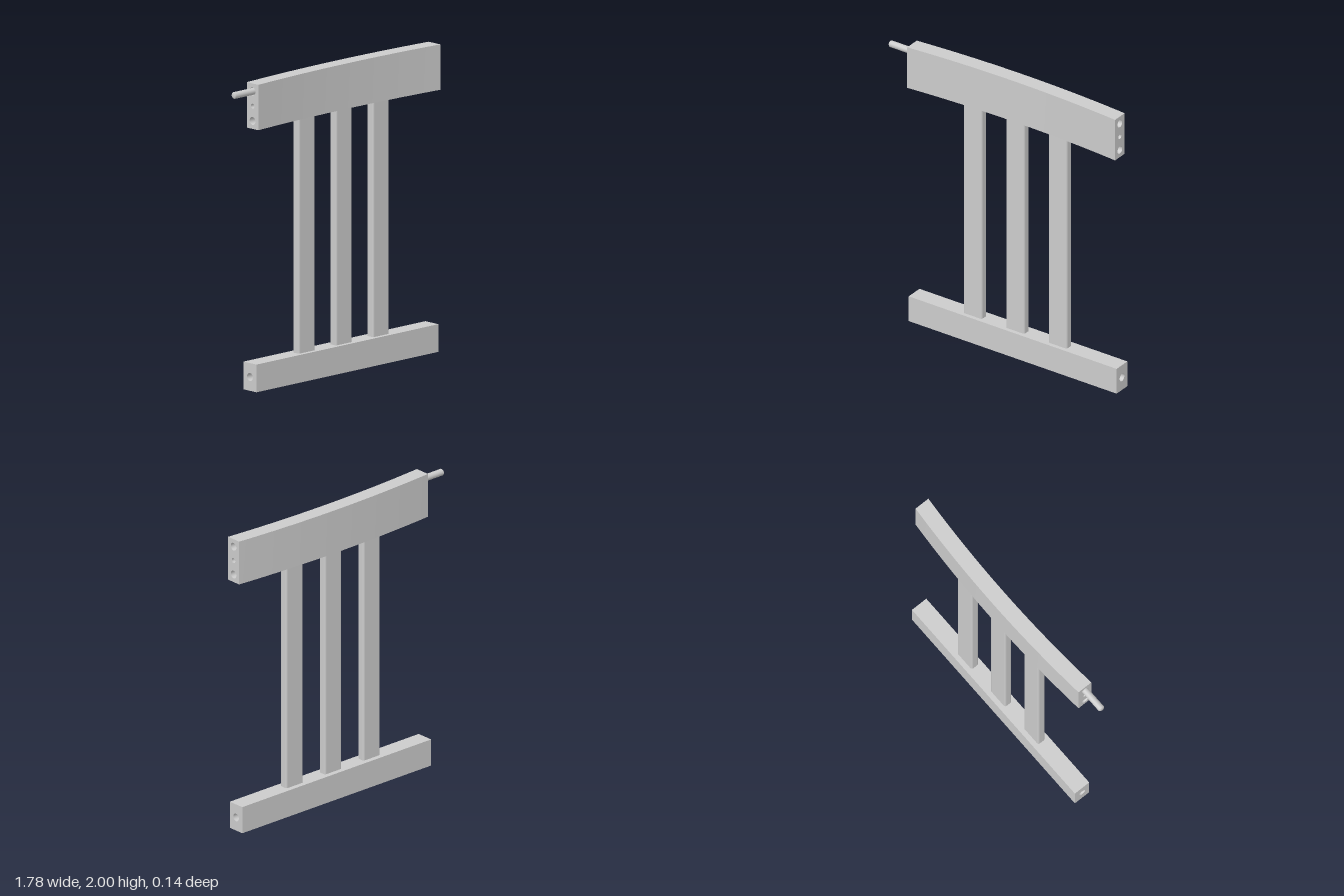
import * as THREE from 'three';

const material = new THREE.MeshStandardMaterial({ color: 0xcccccc });
const boreMaterial = new THREE.MeshStandardMaterial({ color: 0xcccccc, side: THREE.BackSide });

const RAIL_X = 0.085, RAIL_LENGTH = 1.61;
const HOLE_DEPTH = 0.17;

function add(parent, name, geometry, mat = material) {
  const mesh = new THREE.Mesh(geometry, mat);
  mesh.name = name;
  parent.add(mesh);
  return mesh;
}

// End face pierced by blind dowel holes; local +z points out of the rail
function railEnd(height, depth, holes) {
  const end = new THREE.Group();
  end.name = 'railEnd';
  const h = height / 2, d = depth / 2;
  const face = new THREE.Shape([[-d, -h], [d, -h], [d, h], [-d, h]].map(p => new THREE.Vector2(...p)));
  for (const { y, r } of holes) {
    face.holes.push(new THREE.Path().absarc(0, y, r, 0, Math.PI * 2, true));
    const bore = new THREE.CylinderGeometry(r, r, HOLE_DEPTH, 24, 1, true).rotateX(Math.PI / 2);
    add(end, 'holeWall', bore, boreMaterial).position.set(0, y, -HOLE_DEPTH / 2);
    add(end, 'holeFloor', new THREE.CircleGeometry(r, 24)).position.set(0, y, -HOLE_DEPTH);
  }
  add(end, 'endFace', new THREE.ShapeGeometry(face, 12));
  return end;
}

// Rail whose middle bows backwards by `sag`, with a drilled face at each end
function rail(name, height, depth, sag, holes) {
  const group = new THREE.Group();
  group.name = name;
  const body = new THREE.BoxGeometry(RAIL_LENGTH, height, depth, sag ? 32 : 1, 1, 1);
  // Drop the two plain end faces
  body.setIndex(Array.from(body.index.array).slice(body.groups[2].start));
  body.clearGroups();
  const pos = body.attributes.position;
  for (let i = 0; i < pos.count; i++) {
    const t = pos.getX(i) / (RAIL_LENGTH / 2);
    pos.setZ(i, pos.getZ(i) - sag * (1 - t * t));
  }
  body.computeVertexNormals();
  add(group, name + 'Body', body);
  for (const side of [1, -1]) {
    const end = railEnd(height, depth, holes);
    end.position.x = side * RAIL_LENGTH / 2;
    end.rotation.y = side * Math.PI / 2;
    group.add(end);
  }
  return group;
}

// Flat upright with rounded long edges
function slatGeometry(width, depth, r, length) {
  const w = width / 2, d = depth / 2;
  const s = new THREE.Shape();
  s.absarc(w - r, d - r, r, 0, Math.PI / 2);
  s.absarc(-w + r, d - r, r, Math.PI / 2, Math.PI);
  s.absarc(-w + r, -d + r, r, Math.PI, Math.PI * 1.5);
  s.absarc(w - r, -d + r, r, Math.PI * 1.5, Math.PI * 2);
  return new THREE.ExtrudeGeometry(s, { depth: length, bevelEnabled: false, curveSegments: 6 })
    .rotateX(-Math.PI / 2);
}

export function createModel() {
  const model = new THREE.Group();
  model.name = 'slattedPanel';

  // Curved top rail
  const topRail = rail('topRail', 0.295, 0.105, 0.035, [
    { y: 0.096, r: 0.026 }, { y: 0, r: 0.016 }, { y: -0.096, r: 0.026 }]);
  topRail.position.set(RAIL_X, 1.8525, 0.0185);
  model.add(topRail);

  // Straight bottom rail
  const bottomRail = rail('bottomRail', 0.18, 0.118, 0, [{ y: 0, r: 0.026 }]);
  bottomRail.position.set(RAIL_X, 0.09, -0.005);
  model.add(bottomRail);

  // Three upright slats
  const slat = slatGeometry(0.145, 0.057, 0.013, 1.525);
  for (const x of [-0.246, 0.083, 0.412]) add(model, 'slat', slat).position.set(x, 0.18, -0.002);

  // Dowel seated in the upper hole, with chamfered tips
  const L = 0.17, R = 0.022, c = 0.007;
  const profile = [[0, -L], [R - c, -L], [R, -L + c], [R, L - c], [R - c, L], [0, L]]
    .map(p => new THREE.Vector2(...p));
  let dowel = new THREE.LatheGeometry(profile, 24).toNonIndexed();
  dowel = new THREE.LatheGeometry(profile, 24);
  const peg = add(model, 'dowel', dowel.rotateZ(Math.PI / 2));
  peg.position.set(RAIL_X - RAIL_LENGTH / 2, 1.9485, 0.0185);

  return model;
}
